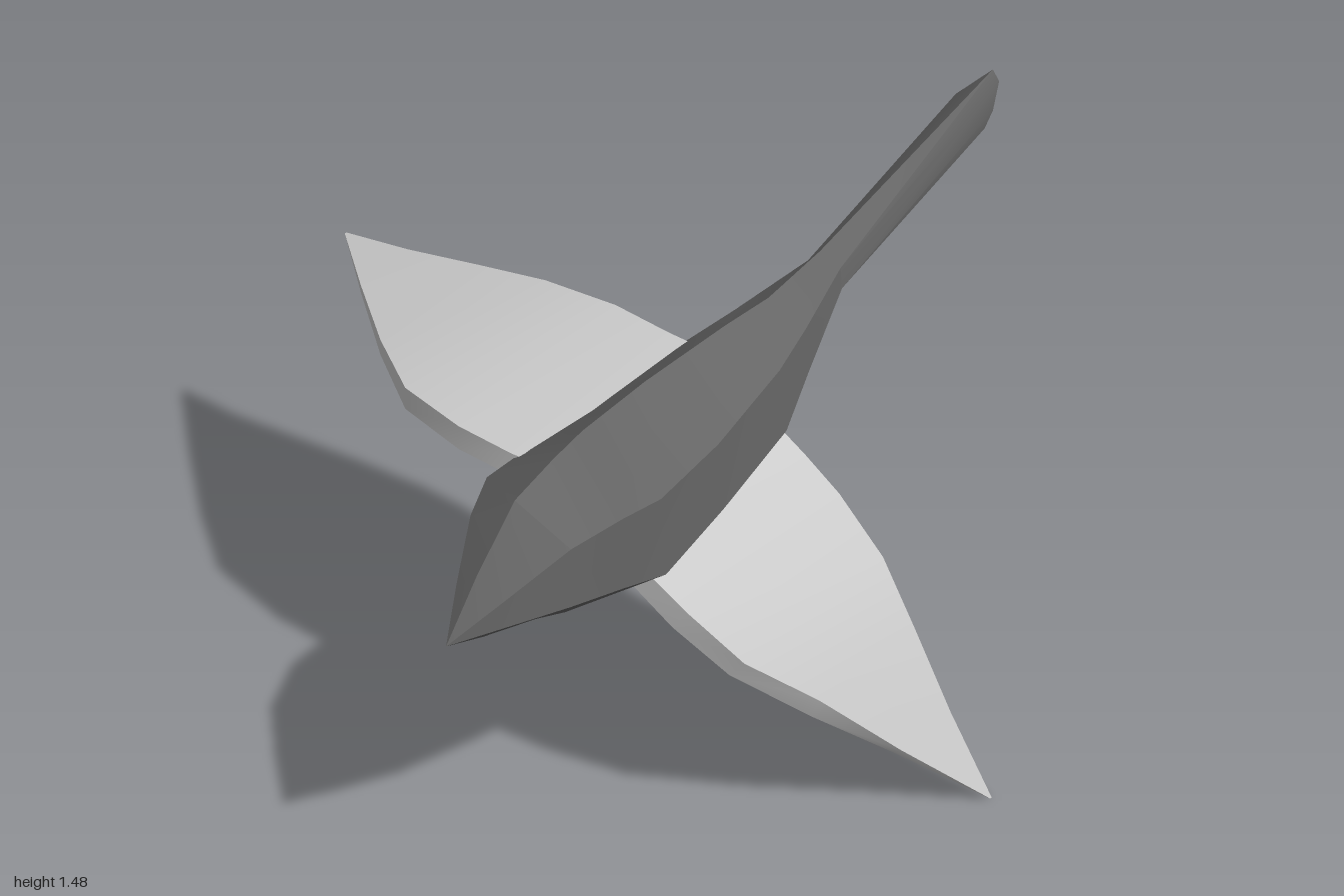
import * as THREE from 'three';
import { toCreasedNormals } from 'three/addons/utils/BufferGeometryUtils.js';

// Skin a list of closed rings (clockwise seen along the loft) and cap both ends.
function loft(rings, crease) {
  const n = rings[0].length;
  const index = [];
  for (let i = 0; i < rings.length - 1; i++) {
    for (let k = 0; k < n; k++) {
      const a = i * n + k, b = i * n + (k + 1) % n;
      index.push(a, b, a + n, b, b + n, a + n);
    }
  }
  const end = (rings.length - 1) * n;
  for (let k = 1; k < n - 1; k++) {
    index.push(0, k + 1, k, end, end + k, end + k + 1);
  }
  const geometry = new THREE.BufferGeometry();
  geometry.setAttribute('position', new THREE.Float32BufferAttribute(rings.flat(2), 3));
  geometry.setIndex(index);
  return toCreasedNormals(geometry, crease);
}

function part(name, geometry, color) {
  const mesh = new THREE.Mesh(geometry, new THREE.MeshStandardMaterial({ color }));
  mesh.name = name;
  return mesh;
}

// Body hexagons from beak to tail: z, then x,y of top right, top left,
// side left, bottom left, bottom right, side right.
const bodySections = [
  [1.0, [0.27, 0.855], [0.27, 0.855], [0.27, 0.855], [0.27, 0.855], [0.27, 0.855], [0.27, 0.855]],
  [0.89, [0.28, 1.0], [0.37, 0.97], [0.37, 0.89], [0.30, 0.835], [0.22, 0.87], [0.22, 0.95]],
  [0.75, [0.29, 1.145], [0.455, 1.07], [0.455, 0.905], [0.32, 0.81], [0.16, 0.88], [0.16, 1.05]],
  [0.56, [0.265, 1.15], [0.47, 1.06], [0.47, 0.86], [0.30, 0.725], [0.08, 0.81], [0.07, 1.02]],
  [0.38, [0.22, 1.115], [0.45, 1.01], [0.465, 0.80], [0.26, 0.65], [0.04, 0.74], [0.04, 0.98]],
  [0.1, [0.20, 1.095], [0.415, 1.0], [0.43, 0.82], [0.26, 0.66], [0.055, 0.75], [0.055, 0.97]],
  [-0.21, [0.21, 1.09], [0.37, 1.025], [0.39, 0.86], [0.28, 0.765], [0.12, 0.83], [0.08, 0.985]],
  [-0.33, [0.25, 1.12], [0.36, 1.075], [0.37, 0.96], [0.30, 0.89], [0.19, 0.93], [0.15, 1.045]],
  [-0.49, [0.285, 1.18], [0.345, 1.155], [0.35, 1.10], [0.33, 1.07], [0.27, 1.09], [0.25, 1.14]],
];

// Slanted tail tip
const tailTip = [
  [0.425, 1.48, -0.995], [0.44, 1.45, -1.0], [0.44, 1.38, -0.975],
  [0.43, 1.335, -0.955], [0.37, 1.35, -0.95], [0.345, 1.40, -0.955],
];

// Wing sections from root to tip:
// top x, top y, underside x, underside y, leading z, trailing z.
const leftWing = [
  [0.34, 0.88, 0.31, 0.83, 0.42, -0.21],
  [0.44, 0.81, 0.40, 0.755, 0.415, -0.215],
  [0.53, 0.725, 0.49, 0.665, 0.39, -0.23],
  [0.655, 0.59, 0.61, 0.54, 0.325, -0.235],
  [0.75, 0.43, 0.725, 0.375, 0.155, -0.23],
  [0.85, 0.22, 0.825, 0.205, -0.04, -0.24],
  [0.95, 0.0, 0.95, 0.0, -0.262, -0.268],
];
const rightWing = [
  [0.12, 1.0, 0.12, 0.935, 0.42, -0.21],
  [0.04, 1.0, 0.04, 0.935, 0.42, -0.215],
  [-0.13, 1.0, -0.13, 0.935, 0.40, -0.235],
  [-0.34, 0.985, -0.34, 0.925, 0.325, -0.24],
  [-0.54, 0.947, -0.54, 0.905, 0.15, -0.245],
  [-0.75, 0.905, -0.75, 0.885, -0.06, -0.25],
  [-0.95, 0.86, -0.95, 0.86, -0.27, -0.276],
];

function wing(name, sections, reverse) {
  const rings = sections.map(([xt, yt, xb, yb, lead, trail]) => {
    const ring = [[xt, yt, trail], [xt, yt, lead], [xb, yb, lead], [xb, yb, trail]];
    return reverse ? ring.reverse() : ring;
  });
  return part(name, loft(rings, 0.6), 0xcccccc);
}

export function createModel() {
  const bird = new THREE.Group();
  bird.name = 'bird';
  const rings = bodySections.map(([z, ...points]) => points.map(([x, y]) => [x, y, z]));
  bird.add(
    part('body', loft([...rings, tailTip], 0.5), 0x666666),
    wing('leftWing', leftWing, false),
    wing('rightWing', rightWing, true),
  );
  return bird;
}
